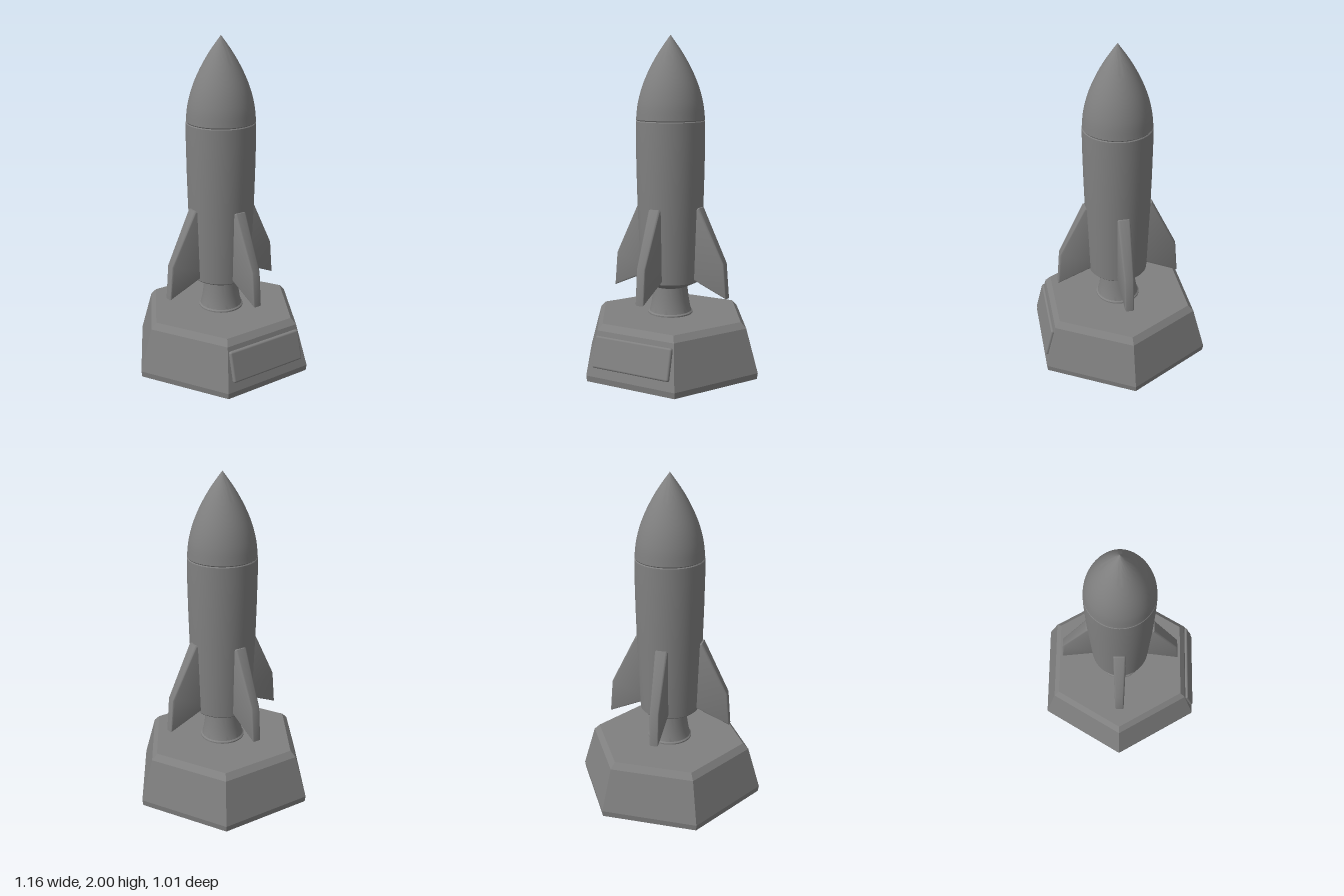
import * as THREE from 'three';
import { toCreasedNormals } from 'three/addons/utils/BufferGeometryUtils.js';
import { RoundedBoxGeometry } from 'three/addons/geometries/RoundedBoxGeometry.js';

export function createModel() {
  const model = new THREE.Group();
  const grey = new THREE.MeshStandardMaterial({ color: 0x808080 });
  grey.name = 'grey';

  function add(name, geometry, parent = model) {
    const mesh = new THREE.Mesh(geometry, grey);
    mesh.name = name;
    parent.add(mesh);
    return mesh;
  }

  // Revolve [radius, height] pairs, keeping sharp edges
  function turned(profile, sides = 64, crease = 0.35) {
    const points = profile.map(([r, y]) => new THREE.Vector2(r, y));
    return toCreasedNormals(new THREE.LatheGeometry(points, sides, Math.PI / 2), crease);
  }

  // Hexagonal plinth with bevelled top, and the round pad beneath it
  add('plinth', turned([
    [0, 0.004], [0.575, 0.004], [0.58, 0.04], [0.503, 0.3], [0.468, 0.335], [0, 0.335],
  ], 6, 0.05));
  add('basePad', turned([[0, 0], [0.295, 0], [0.3, 0.006], [0, 0.006]]));

  // Blank plaque on the sloping front face
  const plaque = add('plaque', new RoundedBoxGeometry(0.5, 0.186, 0.04, 3, 0.012));
  plaque.position.set(0, 0.182, 0.464);
  plaque.rotation.x = -Math.atan2(0.067, 0.26);

  // Flared nozzle
  add('nozzle', turned([
    [0, 0.33], [0.135, 0.33], [0.135, 0.343], [0.127, 0.35], [0.119, 0.38],
    [0.111, 0.43], [0.105, 0.48], [0.102, 0.52], [0, 0.52],
  ]));

  // Rocket body, with a shallow seam below the nose
  add('body', turned([
    [0, 0.505], [0.105, 0.505], [0.173, 0.538], [0.18, 0.545], [0.183, 0.6], [0.19, 0.8],
    [0.198, 1.0], [0.203, 1.2], [0.206, 1.4], [0.205, 1.499], [0.201, 1.504], [0, 1.504],
  ]));

  // Pointed nose cone
  const noseCurve = new THREE.SplineCurve([
    [0.204, 1.51], [0.194, 1.6], [0.168, 1.7], [0.126, 1.8], [0.07, 1.9], [0, 2],
  ].map(([r, y]) => new THREE.Vector2(r, y)));
  const nose = noseCurve.getPoints(24).map((p) => [Math.max(p.x, 0), p.y]);
  add('nose', turned([[0, 1.504], [0.2, 1.504], ...nose]));

  // Fin blade: bevelled outline, thinning towards its tip
  const outline = new THREE.Shape([
    [0.12, 0.595], [0.372, 0.478], [0.353, 0.672], [0.2, 0.985], [0.12, 0.985],
  ].map(([x, y]) => new THREE.Vector2(x, y)));
  const finGeometry = new THREE.ExtrudeGeometry(outline, {
    depth: 0.05, bevelEnabled: true, bevelThickness: 0.012, bevelSize: 0.011, bevelSegments: 3,
  });
  finGeometry.translate(0, 0, -0.025);
  const position = finGeometry.attributes.position;
  for (let i = 0; i < position.count; i++) {
    const t = THREE.MathUtils.clamp((position.getX(i) - 0.18) / 0.2, 0, 1);
    position.setZ(i, position.getZ(i) * THREE.MathUtils.lerp(1.06, 0.74, t));
  }
  const bladeGeometry = toCreasedNormals(finGeometry, 0.6);

  // Four fins around the body
  const fins = new THREE.Group();
  fins.name = 'fins';
  model.add(fins);
  for (let i = 0; i < 4; i++) {
    add('fin', bladeGeometry, fins).rotation.y = i * Math.PI / 2;
  }

  return model;
}
